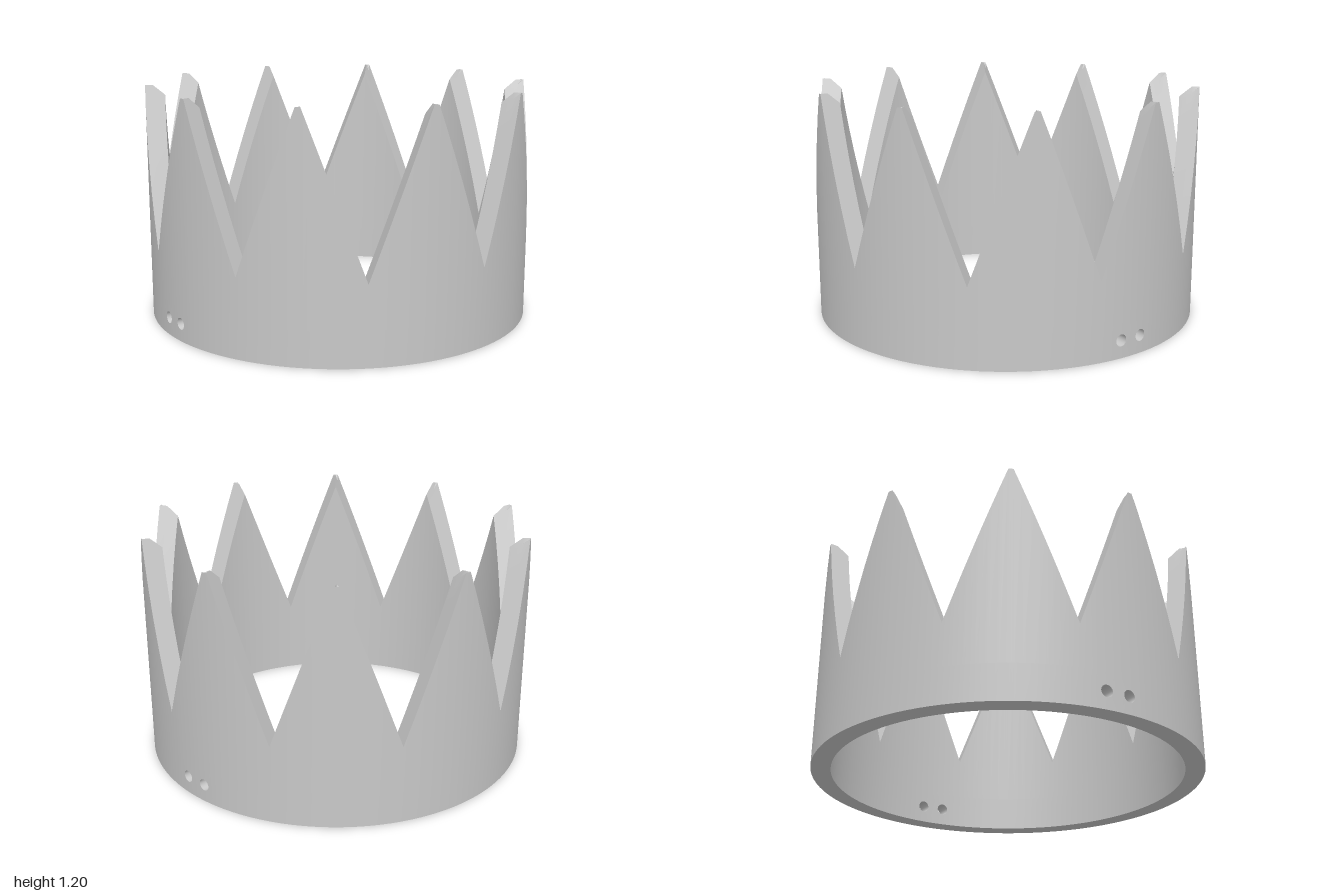
import * as THREE from 'three';
import { toCreasedNormals } from 'three/addons/utils/BufferGeometryUtils.js';

const DEG = Math.PI / 180;
const OUTER = 1, INNER = 0.9, TOP = 1.2, VALLEY = 0.4;
const NOTCHES = 10, STEP = 36, FIRST = 7.6; // notch centres, degrees from +z towards +x
const HALF_WIDTH = 0.297;                   // half width of a notch at the top
const PATCH = 6.5, PATCH_TOP = 0.18;        // wall area round each lacing hole
const HOLE_Z = 0.06, HOLE_Y = 0.09, HOLE_R = 0.03, SIDE = 6;

const point = (r, deg, y) => [r * Math.sin(deg * DEG), y, r * Math.cos(deg * DEG)];

// Height of the crown where straight V notches are cut radially through the wall
function rim(r, deg) {
  const t = deg - FIRST - STEP * Math.round((deg - FIRST) / STEP);
  const across = r * Math.abs(Math.sin(t * DEG));
  return Math.min(TOP, VALLEY + (TOP - VALLEY) * across / HALF_WIDTH);
}

// Left edges of the four patches that hold the lacing holes
const patches = [90 - PATCH, 90, 270 - PATCH, 270];

// Angles of the wall's columns
function columns() {
  const flat = Math.asin(HALF_WIDTH) / DEG;
  const list = [];
  for (let k = 0; k < NOTCHES; k++) {
    for (const t of [-18, -flat, -15, -12, -9, -6, -3, 0, 3, 6, 9, 12, 15, flat]) {
      const a = (FIRST + STEP * k + t + 360) % 360;
      if (Math.abs(a % 180 - 90) > PATCH) list.push(a);
    }
  }
  for (const p of patches) {
    for (let i = 0; i < SIDE; i++) list.push(p + PATCH * i / SIDE);
  }
  list.push(90 + PATCH, 270 + PATCH);
  list.sort((a, b) => a - b);
  list.push(list[0] + 360);
  return list;
}

// Points round the border of a patch, as fractions, counter-clockwise from lower left
function border() {
  const pts = [];
  for (let i = 0; i < SIDE; i++) pts.push([i / SIDE, 0]);
  for (let i = 0; i < SIDE; i++) pts.push([1, i / SIDE]);
  for (let i = 0; i < SIDE; i++) pts.push([1 - i / SIDE, 1]);
  for (let i = 0; i < SIDE; i++) pts.push([0, 1 - i / SIDE]);
  return pts;
}

function crownGeometry() {
  const pos = [];
  const quad = (a, b, c, d) => pos.push(...a, ...b, ...c, ...a, ...c, ...d);
  const cols = columns();
  const radii = [INNER, HALF_WIDTH / Math.sin(18 * DEG), OUTER];

  for (let i = 0; i < cols.length - 1; i++) {
    const a = cols[i], b = cols[i + 1], mid = (a + b) / 2;
    const inPatch = Math.abs(mid % 180 - 90) < PATCH;
    // outer and inner walls
    for (const [r, p, q] of [[OUTER, a, b], [INNER, b, a]]) {
      if (!inPatch) quad(point(r, p, 0), point(r, q, 0), point(r, q, PATCH_TOP), point(r, p, PATCH_TOP));
      quad(point(r, p, PATCH_TOP), point(r, q, PATCH_TOP), point(r, q, rim(r, q)), point(r, p, rim(r, p)));
    }
    // notch flanks and spike tips
    for (let j = 0; j < 2; j++) {
      const r = radii[j], s = radii[j + 1];
      quad(point(r, a, rim(r, a)), point(s, a, rim(s, a)), point(s, b, rim(s, b)), point(r, b, rim(r, b)));
    }
    // underside
    quad(point(INNER, a, 0), point(INNER, b, 0), point(OUTER, b, 0), point(OUTER, a, 0));
  }

  // wall patches with a straight hole bored through each
  const edge = border(), n = edge.length;
  for (const start of patches) {
    const axis = start < 180 ? 90 : 270;
    const side = start < axis ? -1 : 1;
    const onBorder = (r, i) => {
      const [u, v] = edge[i % n];
      return point(r, start + PATCH * u, PATCH_TOP * v);
    };
    const onHole = (r, i) => {
      const t = (i / n) * 2 * Math.PI - 0.75 * Math.PI;
      const offset = side * HOLE_Z + HOLE_R * Math.cos(t);
      return point(r, axis + Math.asin(offset / r) / DEG, HOLE_Y + HOLE_R * Math.sin(t));
    };
    for (let i = 0; i < n; i++) {
      const k = i + 1;
      quad(onBorder(OUTER, i), onBorder(OUTER, k), onHole(OUTER, k), onHole(OUTER, i));
      quad(onBorder(INNER, k), onBorder(INNER, i), onHole(INNER, i), onHole(INNER, k));
      quad(onHole(OUTER, i), onHole(OUTER, k), onHole(INNER, k), onHole(INNER, i));
    }
  }

  const geometry = new THREE.BufferGeometry();
  geometry.setAttribute('position', new THREE.Float32BufferAttribute(pos, 3));
  return toCreasedNormals(geometry, 30 * DEG);
}

export function createModel() {
  const grey = new THREE.MeshStandardMaterial({ color: 0xc8c8c8 });
  grey.name = 'light grey';
  const band = new THREE.Mesh(crownGeometry(), grey);
  band.name = 'spikedCrownBand';
  const group = new THREE.Group();
  group.name = 'crown';
  group.add(band);
  return group;
}
